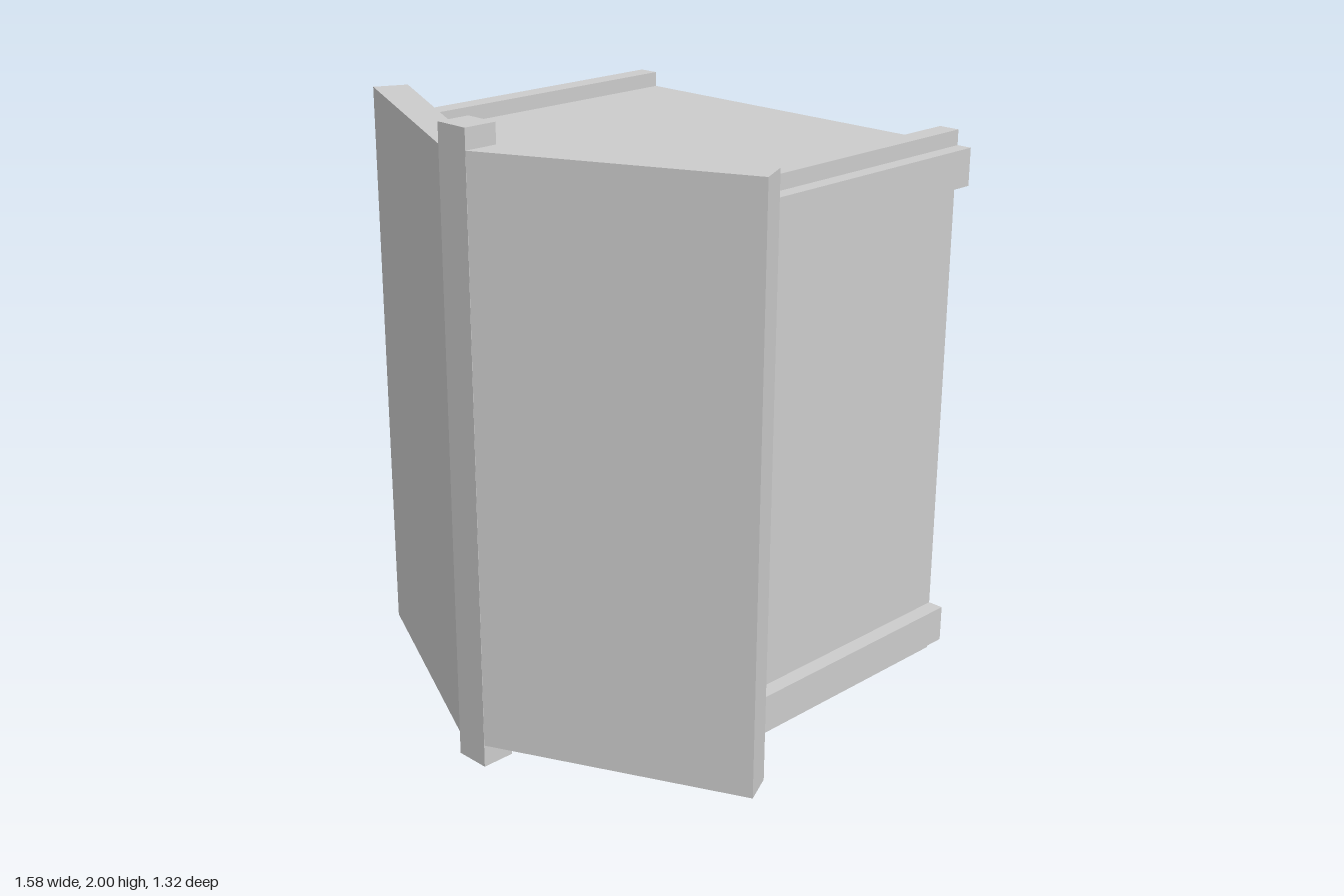
import * as THREE from 'three';

const material = new THREE.MeshStandardMaterial({ color: 0xcccccc, flatShading: true, side: THREE.DoubleSide });

function add(parent, name, geometry) {
  const mesh = new THREE.Mesh(geometry, material);
  mesh.name = name;
  parent.add(mesh);
  return mesh;
}

// Box given by its limits on each axis
function box(parent, name, x0, x1, y0, y1, z0, z1) {
  const mesh = add(parent, name, new THREE.BoxGeometry(x1 - x0, y1 - y0, z1 - z0));
  mesh.position.set((x0 + x1) / 2, (y0 + y1) / 2, (z0 + z1) / 2);
  return mesh;
}

// Floor-plan outline of [x, z] points, raised from y0 to y1
function plan(parent, name, points, y0, y1, holes = []) {
  const toVectors = (list) => list.map(([x, z]) => new THREE.Vector2(x, -z));
  const shape = new THREE.Shape(toVectors(points));
  holes.forEach((hole) => shape.holes.push(new THREE.Path(toVectors(hole))));
  const geometry = new THREE.ExtrudeGeometry(shape, { depth: y1 - y0, bevelEnabled: false });
  geometry.rotateX(-Math.PI / 2).translate(0, y0, 0);
  return add(parent, name, geometry);
}

const rect = (x0, x1, z0, z1) => [[x0, z0], [x1, z0], [x1, z1], [x0, z1]];

export function createModel() {
  const model = new THREE.Group();
  model.name = 'cabinet';
  const back = -0.66;
  const floorY = 0.29;
  const topY = 1.84;

  // Thin top and floor, pointed at the front; the floor has a vent opening and a bracket notch
  const front = [[0.635, 0.273], [0.055, 0.555], [-0.055, 0.555], [-0.635, 0.273]];
  plan(model, 'topPlate', [[-0.635, back], [0.635, back], ...front], topY - 0.01, topY);
  const notch = [[-0.455, back], [-0.455, -0.505], [-0.055, -0.505], [-0.055, back]];
  plan(model, 'floorPlate', [[-0.635, back], ...notch, [0.635, back], ...front],
    floorY, floorY + 0.01, [rect(0.01, 0.41, -0.05, 0.18)]);

  // Vent grille with four slots
  const slots = [];
  for (const x of [0.04, 0.225]) {
    for (const z of [-0.025, 0.08]) slots.push(rect(x, x + 0.155, z, z + 0.075));
  }
  plan(model, 'ventGrille', rect(0.01, 0.41, -0.05, 0.18), floorY + 0.005, floorY + 0.02, slots);

  // Recessed back wall
  box(model, 'backWall', -0.625, 0.625, floorY, topY - 0.01, -0.48, -0.465);

  // Side walls and their stepped rails, mirrored
  for (const side of [-1, 1]) {
    const span = (a, b) => (side > 0 ? [a, b] : [-b, -a]);
    box(model, 'sideWall', ...span(0.625, 0.635), floorY, topY, back, 0.273);
    for (const [name, innerY, outerY] of [
      ['topRail', [topY, 1.885], [1.73, topY]],
      ['bottomRail', [0.245, floorY], [floorY, 0.4]],
    ]) {
      const rail = new THREE.Group();
      rail.name = name;
      box(rail, 'railInner', ...span(0.573, 0.637), ...innerY, back, 0.27);
      box(rail, 'railOuter', ...span(0.635, 0.683), ...outerY, back, 0.25);
      model.add(rail);
    }

    // Angled front panel
    plan(model, 'frontPanel', [
      [side * 0.055, 0.66], [side * 0.79, 0.315], [side * 0.745, 0.22], [side * 0.055, 0.555],
    ], 0.19, 1.94);
  }

  // Centre post at the front point
  plan(model, 'centrePost', rect(-0.055, 0.055, 0.557, 0.661), 0.12, 2);

  // Folded bracket under the back edge, open at the top; profile in [z, y]
  const profile = [
    [-0.505, 0.29], [-0.505, 0.12], [-0.53, 0.12], [-0.53, 0.15], [-0.58, 0.15], [-0.58, 0],
    [-0.605, 0], [-0.605, 0.03], [-0.66, 0.03], [-0.66, 0.29], [-0.64, 0.29], [-0.64, 0.05],
    [-0.605, 0.05], [-0.605, 0.17], [-0.53, 0.17], [-0.53, 0.29],
  ];
  const bracket = new THREE.ExtrudeGeometry(
    new THREE.Shape(profile.map(([z, y]) => new THREE.Vector2(z, y))),
    { depth: 0.4, bevelEnabled: false });
  bracket.rotateY(-Math.PI / 2).translate(-0.055, 0, 0);
  add(model, 'bracket', bracket);

  return model;
}
